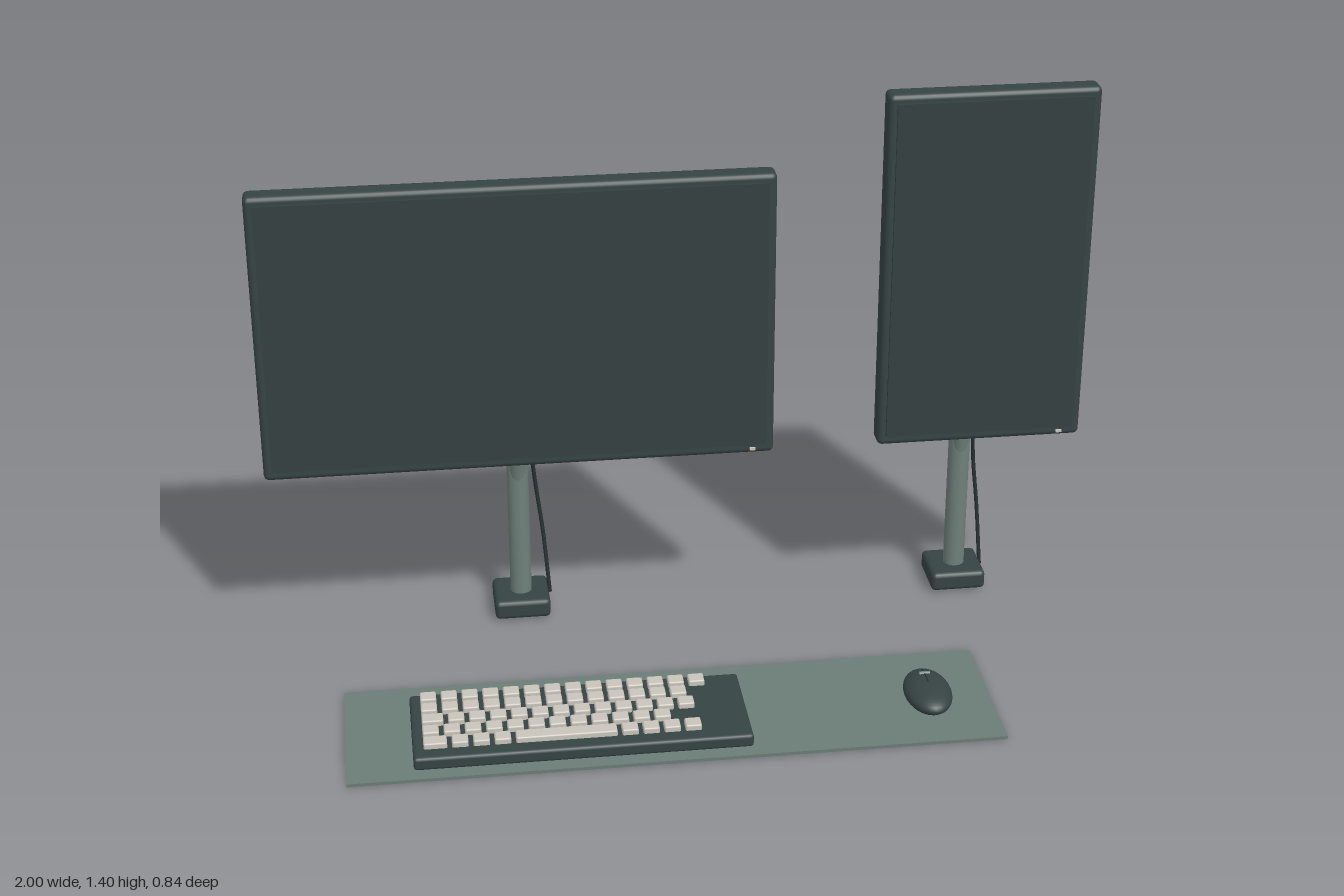
import * as THREE from 'three';
import { RoundedBoxGeometry } from 'three/addons/geometries/RoundedBoxGeometry.js';

const mat = (name, color) => {
  const m = new THREE.MeshStandardMaterial({ color });
  m.name = name;
  return m;
};

export function createModel() {
  const charcoal = mat('charcoal plastic', 0x364343);
  const screenDark = mat('dark screen', 0x344040);
  const metal = mat('grey green metal', 0x6f807a);
  const fabric = mat('desk mat fabric', 0x6b7c75);
  const keycap = mat('pale keycap', 0xc8c4bb);
  const cableDark = mat('black cable', 0x283232);

  const add = (parent, name, geometry, material, x = 0, y = 0, z = 0) => {
    const mesh = new THREE.Mesh(geometry, material);
    mesh.name = name;
    mesh.position.set(x, y, z);
    parent.add(mesh);
    return mesh;
  };
  const group = (parent, name, x = 0, y = 0, z = 0) => {
    const g = new THREE.Group();
    g.name = name;
    g.position.set(x, y, z);
    parent.add(g);
    return g;
  };
  // cylinder running between two points
  const rod = (parent, name, a, b, radius, material) => {
    const dir = b.clone().sub(a);
    const mesh = add(parent, name, new THREE.CylinderGeometry(radius, radius, dir.length(), 20), material);
    mesh.position.copy(a).add(b).multiplyScalar(0.5);
    mesh.quaternion.setFromUnitVectors(new THREE.Vector3(0, 1, 0), dir.normalize());
  };
  const v = (x, y, z) => new THREE.Vector3(x, y, z);

  const model = new THREE.Group();
  model.name = 'deskSetup';

  // one display on its stand
  const monitor = (name, cx, width, height) => {
    const g = group(model, name, cx);
    const bottom = 0.5, cy = bottom + height / 2;
    add(g, 'housing', new RoundedBoxGeometry(width, height, 0.06, 2, 0.013), charcoal, 0, cy, -0.189);
    add(g, 'screen', new THREE.BoxGeometry(width - 0.04, height - 0.046, 0.008), screenDark, 0, cy + 0.003, -0.156);
    add(g, 'powerLight', new THREE.BoxGeometry(0.014, 0.006, 0.006), keycap, width / 2 - 0.053, 0.514, -0.156);

    // stand: foot, upright and leaning arm
    add(g, 'foot', new RoundedBoxGeometry(0.14, 0.05, 0.14, 2, 0.012), charcoal, 0, 0.03, -0.35);
    rod(g, 'upright', v(0, 0.05, -0.35), v(0, 0.513, -0.35), 0.027, metal);
    rod(g, 'arm', v(0, 0.35, -0.35), v(0, cy, -0.236), 0.02, metal);

    // cable sagging from the arm to the foot
    const path = new THREE.CatmullRomCurve3([
      v(0.004, cy - 0.1, -0.235), v(0.014, 0.66, -0.29), v(0.03, 0.5, -0.343),
      v(0.046, 0.34, -0.379), v(0.062, 0.2, -0.38), v(0.075, 0.03, -0.37),
    ]);
    add(g, 'cable', new THREE.TubeGeometry(path, 40, 0.005, 8), cableDark);
  };
  monitor('wideMonitor', -0.383, 1.234, 0.724);
  monitor('portraitMonitor', 0.746, 0.508, 0.902);

  // desk mat
  add(model, 'deskMat', new THREE.BoxGeometry(1.545, 0.008, 0.396), fabric, -0.067, 0.004, 0.219);

  // keyboard
  const keyboard = group(model, 'keyboard');
  add(keyboard, 'keyboardCase', new RoundedBoxGeometry(0.792, 0.033, 0.28, 2, 0.008), charcoal, -0.289, 0.0245, 0.245);
  const pitch = 0.0495, gap = 0.011;
  const row = (count, first = pitch) => [first, ...Array(count - 1).fill(pitch)];
  const rows = [
    row(14), row(13), row(13, 0.062), row(12),
    [0.066, pitch, pitch, pitch, 0.248, pitch, pitch, pitch, pitch],
  ];
  rows.forEach((widths, r) => {
    let x = -0.66;
    for (const w of widths) {
      add(keyboard, 'key', new RoundedBoxGeometry(w - gap, 0.018, 0.037, 1, 0.004), keycap,
        x + (w - gap) / 2, 0.046, 0.134 + r * 0.0485);
      x += w;
    }
  });

  // mouse
  const mouse = group(model, 'mouse', 0.549, 0.038, 0.246);
  add(mouse, 'mouseBody', new THREE.SphereGeometry(1, 32, 20), charcoal).scale.set(0.057, 0.03, 0.095);
  const seam = new THREE.CatmullRomCurve3([-0.074, -0.055, -0.035, -0.015, 0.004].map(
    (z) => v(0, 0.03 * Math.sqrt(1 - (z / 0.095) ** 2), z)));
  add(mouse, 'buttonSeam', new THREE.TubeGeometry(seam, 16, 0.0015, 6), cableDark);
  const wheel = add(mouse, 'scrollWheel', new THREE.CylinderGeometry(0.006, 0.006, 0.026, 16), metal, 0, 0.025, -0.042);
  wheel.rotation.z = Math.PI / 2;

  return model;
}
